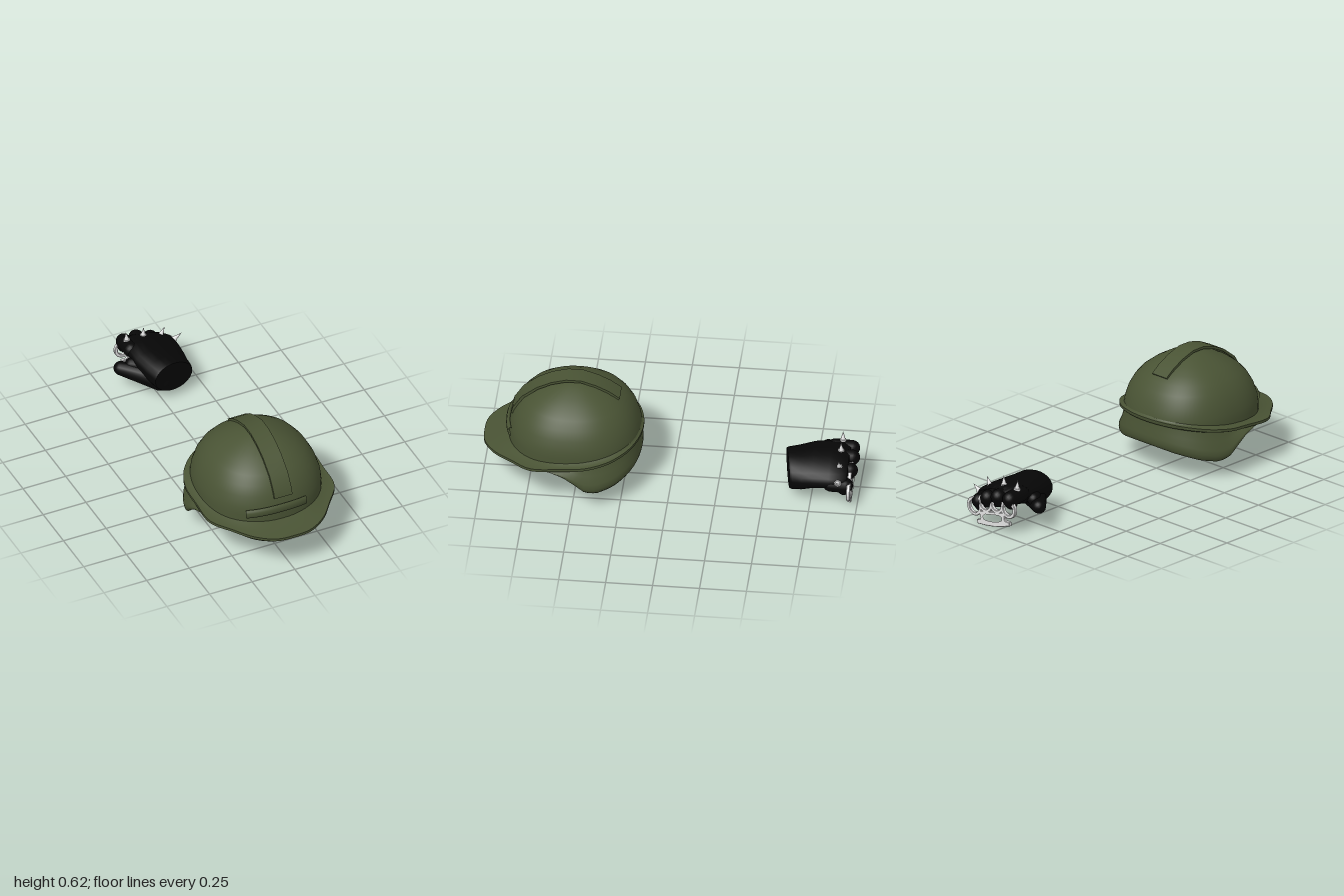
import * as THREE from 'three';
import { toCreasedNormals } from 'three/addons/utils/BufferGeometryUtils.js';

const V = (x, y, z) => new THREE.Vector3(x, y, z);

// Piecewise linear lookup through [input, output] pairs
function lookup(pairs, t) {
  if (t <= pairs[0][0]) return pairs[0][1];
  for (let i = 1; i < pairs.length; i++) {
    const [a, b] = [pairs[i - 1], pairs[i]];
    if (t <= b[0]) return a[1] + (b[1] - a[1]) * (t - a[0]) / (b[0] - a[0]);
  }
  return pairs[pairs.length - 1][1];
}

// Skin a list of closed rings that share one point count
function loft(rings, crease = 0.8) {
  const n = rings[0].length, index = [];
  for (let r = 0; r < rings.length - 1; r++) {
    for (let i = 0; i < n; i++) {
      const j = (i + 1) % n, a = r * n, b = a + n;
      index.push(a + i, a + j, b + j, a + i, b + j, b + i);
    }
  }
  const geo = new THREE.BufferGeometry().setFromPoints(rings.flat());
  geo.setIndex(index);
  return toCreasedNormals(geo, crease);
}

function add(parent, name, geo, mat) {
  const mesh = new THREE.Mesh(geo, mat);
  mesh.name = name;
  parent.add(mesh);
  return mesh;
}

const CZ = 0.515; // helmet centre in z
const rimHeight = z => lookup([[0.15, 0.314], [0.3, 0.288], [0.45, 0.266], [0.6, 0.253], [0.75, 0.242], [1, 0.222]], z);
const guardHeight = z => lookup([[0.16, 0.172], [0.2, 0.15], [0.28, 0.118], [0.37, 0.099], [0.43, 0.11],
  [0.49, 0.165], [0.55, 0.21], [0.62, 0.232], [0.9, 0.23]], z);

// Rounded-square plan of the shell at a given angle from the front
function plan(angle, s = 1, widen = 0) {
  const sx = Math.sin(angle), cz = Math.cos(angle), p = 2.25;
  const k = s / Math.pow(Math.abs(sx / (0.335 + widen)) ** p + Math.abs(cz / 0.352) ** p, 1 / p);
  return [sx * k, CZ + cz * k];
}

function buildHelmet(green) {
  const helmet = new THREE.Group();
  helmet.name = 'helmet';

  // Outer edge of the brim, from the front round the +x side
  const half = [[0.1, 0.99], [0.2, 0.93], [0.285, 0.83], [0.365, 0.72], [0.372, 0.56], [0.368, 0.42], [0.32, 0.305], [0.2, 0.2]];
  const outline = [[0, 1], ...half, [0, 0.152], ...half.map(([x, z]) => [-x, z]).reverse()];
  const edge = new THREE.CatmullRomCurve3(outline.map(([x, z]) => V(x, 0, z)), true).getSpacedPoints(96).slice(0, 96);
  const angles = edge.map(p => Math.atan2(p.x, p.z - CZ));

  // Dome
  const levels = [[1, 0.3], [0.985, 0.34], [0.93, 0.4], [0.85, 0.45], [0.745, 0.493], [0.6, 0.531],
    [0.45, 0.56], [0.3, 0.583], [0.16, 0.599], [0, 0.604]];
  const base = angles.map(a => { const [x, z] = plan(a); return V(x, rimHeight(z) - 0.015, z); });
  const domeRings = levels.map(([s, y], k) => angles.map(a => {
    const [x, z] = plan(a, s);
    return V(x, k ? y : Math.max(y, rimHeight(z)), z);
  }));
  add(helmet, 'dome', loft([base, ...domeRings]), green);

  // Brim: a thin lip at the back, a peak with a sagging underside at the front
  const brimRing = (t, lift) => edge.map((e, i) => {
    const [x, z] = plan(angles[i], 0.985);
    const front = THREE.MathUtils.smoothstep(e.z, 0.72, 0.98);
    const bend = lift > 0 ? 0.014 * (1 - t) : -0.03 * Math.sin(Math.PI * t);
    return V(x + (e.x - x) * t, rimHeight(e.z) + lift + front * bend, z + (e.z - z) * t);
  });
  add(helmet, 'brim', loft([
    brimRing(0, -0.012), brimRing(0.35, -0.016), brimRing(0.7, -0.014), brimRing(1, -0.008),
    brimRing(1, 0.007), brimRing(0.7, 0.008), brimRing(0.35, 0.012), brimRing(0, 0.02),
  ]), green);

  // Neck and ear guard, with a thick rolled lower edge
  const guardRing = (s, widen, drop, lift) => angles.map(a => {
    const [x, z] = plan(a, s, widen);
    const top = rimHeight(z), bottom = Math.min(guardHeight(z), top - 0.004);
    return V(x, top + (bottom - top) * drop + lift * (top - bottom) / 0.17, z);
  });
  add(helmet, 'neckGuard', loft([
    guardRing(0.94, 0, 0, 0), guardRing(0.95, 0.01, 0.45, 0), guardRing(0.955, 0.015, 0.8, 0),
    guardRing(0.955, 0.022, 1, 0.014), guardRing(0.965, 0.028, 1, 0.002), guardRing(0.985, 0.034, 1, 0),
    guardRing(1.005, 0.038, 1, 0.012), guardRing(1.015, 0.038, 1, 0.032), guardRing(1.012, 0.036, 0.65, 0),
    guardRing(0.992, 0.02, 0.4, 0), guardRing(0.975, 0.005, 0, 0),
  ], 1.2), green);

  // Raised crest along the crown
  const top = [[0.275, 0.52], [0.33, 0.56], [0.4, 0.594], [0.48, 0.619], [0.56, 0.619], [0.64, 0.597],
    [0.715, 0.56], [0.797, 0.495], [0.845, 0.42], [0.855, 0.385]];
  const under = top.map(([z, y]) => [CZ + (z - CZ) * 0.963, 0.25 + (y - 0.25) * 0.963]).reverse();
  const crest = new THREE.ExtrudeGeometry(
    new THREE.Shape([...top, ...under].map(p => new THREE.Vector2(...p))), { depth: 0.105, bevelEnabled: false });
  crest.rotateY(-Math.PI / 2).translate(0.055, 0, 0);
  add(helmet, 'crest', toCreasedNormals(crest, 0.6), green);

  // Moulded fold above the peak
  const fold = [];
  for (let i = 0; i <= 8; i++) {
    const a = -0.58 + i * 0.12, [x, z] = plan(a, 1.01);
    fold.push(V(x, -0.03 * a * a, z));
  }
  const foldGeo = new THREE.TubeGeometry(new THREE.CatmullRomCurve3(fold), 20, 0.012, 10);
  foldGeo.scale(1, 2.2, 1).translate(0, 0.328, 0);
  add(helmet, 'frontFold', foldGeo, green);
  return helmet;
}

function buildGlove(black, steel) {
  const glove = new THREE.Group();
  glove.name = 'spikedGlove';
  const TILT = -0.24;

  // Palm and cuff: [z, x, y, half width, half height], fist end first
  const sections = [[-0.95, 0.045, 0.168, 0, 0], [-0.945, 0.045, 0.168, 0.13, 0.05], [-0.91, 0.045, 0.172, 0.152, 0.064],
    [-0.85, 0.045, 0.17, 0.157, 0.069], [-0.76, 0.045, 0.162, 0.152, 0.076], [-0.69, 0.053, 0.146, 0.136, 0.088],
    [-0.635, 0.06, 0.142, 0.125, 0.091], [-0.622, 0.06, 0.142, 0.119, 0.086], [-0.622, 0.06, 0.142, 0, 0]];
  const rings = sections.map(([z, x, y, w, h]) => Array.from({ length: 24 }, (_, i) => {
    const a = i / 24 * Math.PI * 2, u = w * Math.cos(a), v = h * Math.sin(a);
    const px = x + u * Math.cos(TILT) - v * Math.sin(TILT);
    const slant = THREE.MathUtils.smoothstep(z, -0.8, -0.63) * -0.18 * (px - 0.06);
    return V(px, y + u * Math.sin(TILT) + v * Math.cos(TILT), z + slant);
  }));
  add(glove, 'palm', loft(rings, 1), black);

  // Rounded digit tapering from radius ra at a to rb at b
  function digit(name, a, b, ra, rb) {
    const length = a.distanceTo(b), profile = [];
    for (let i = 0; i <= 6; i++) {
      const t = (i / 6 - 1) * Math.PI / 2;
      profile.push(new THREE.Vector2(ra * Math.cos(t), ra * Math.sin(t)));
    }
    for (let i = 0; i <= 6; i++) {
      const t = i / 6 * Math.PI / 2;
      profile.push(new THREE.Vector2(rb * Math.cos(t), length + rb * Math.sin(t)));
    }
    const m = add(glove, name, new THREE.LatheGeometry(profile, 16), black);
    m.position.copy(a);
    m.quaternion.setFromUnitVectors(V(0, 1, 0), b.clone().sub(a).normalize());
  }
  [[-0.076, 0.202], [0.002, 0.197], [0.082, 0.17], [0.16, 0.125]].forEach(([x, y], i) => {
    const end = [-0.95, -0.958, -0.955, -0.937][i];
    digit('finger' + (i + 1), V(x, y, -0.86), V(x - 0.003, y - 0.006, end), 0.042, 0.041);
    digit('fingerCurl' + (i + 1), V(x - 0.003, y - 0.008, end + 0.004), V(x - 0.006, y - 0.03, end + 0.008), 0.038, 0.034);
  });
  digit('thumb', V(0.005, 0.11, -0.673), V(-0.16, 0.137, -0.813), 0.064, 0.038);
  digit('thumbWeb', V(-0.01, 0.16, -0.72), V(-0.105, 0.16, -0.795), 0.055, 0.036);

  // Knuckle spikes: [x, y, lean]
  [[-0.082, 0.232, 0.12], [0.012, 0.23, -0.05], [0.112, 0.2, -0.45], [0.186, 0.15, -1.0]].forEach(([x, y, lean], i) => {
    const spike = new THREE.Group();
    spike.name = 'spike' + (i + 1);
    spike.position.set(x, y, -0.9);
    spike.rotation.z = lean;
    add(spike, 'spikeBase', new THREE.CylinderGeometry(0.017, 0.019, 0.012, 12), steel).position.y = 0.008;
    add(spike, 'spikePoint', new THREE.ConeGeometry(0.014, 0.05, 12), steel).position.y = 0.036;
    glove.add(spike);
  });

  // Knuckle guard: four finger rings joined to a palm bar
  const guard = new THREE.Group();
  guard.name = 'knuckleGuard';
  guard.position.set(0.045, 0.115, -0.967);
  guard.rotation.z = -0.2;
  const plate = shape => new THREE.ExtrudeGeometry(shape,
    { depth: 0.014, bevelThickness: 0.003, bevelSize: 0.003, bevelSegments: 1, curveSegments: 24 }).translate(0, 0, 0.003);
  [[-0.126, 0.002], [-0.042, 0.024], [0.042, 0.024], [0.126, 0.002]].forEach(([x, y], i) => {
    const ring = new THREE.Shape().absarc(x, y, 0.05, 0, Math.PI * 2);
    ring.holes.push(new THREE.Path().absarc(x, y, 0.037, 0, Math.PI * 2, true));
    add(guard, 'ring' + (i + 1), toCreasedNormals(plate(ring), 0.5), steel);
  });
  const side = [[0.096, -0.024], [0.086, -0.056], [0.092, -0.068], [0.12, -0.074], [0.117, -0.09], [0.06, -0.097]];
  const hole = [[0.05, -0.037], [0.07, -0.047], [0.067, -0.066], [0.04, -0.073]];
  const mirrored = (pts, mid) => [...pts, ...mid, ...pts.map(([x, y]) => [-x, y]).reverse()].map(p => new THREE.Vector2(...p));
  const bar = new THREE.Shape(mirrored(side, [[0, -0.1]]));
  bar.holes.push(new THREE.Path(mirrored(hole, [[0, -0.076]])));
  add(guard, 'palmBar', toCreasedNormals(plate(bar), 0.5), steel);
  glove.add(guard);
  return glove;
}

export function createModel() {
  const green = new THREE.MeshStandardMaterial({ color: 0x495334, side: THREE.DoubleSide });
  green.name = 'olive green';
  const black = new THREE.MeshStandardMaterial({ color: 0x060606 });
  black.name = 'black leather';
  const steel = new THREE.MeshStandardMaterial({ color: 0xe2e2e2 });
  steel.name = 'light steel';
  const model = new THREE.Group();
  model.name = 'helmetAndGlove';
  model.add(buildHelmet(green), buildGlove(black, steel));
  return model;
}
